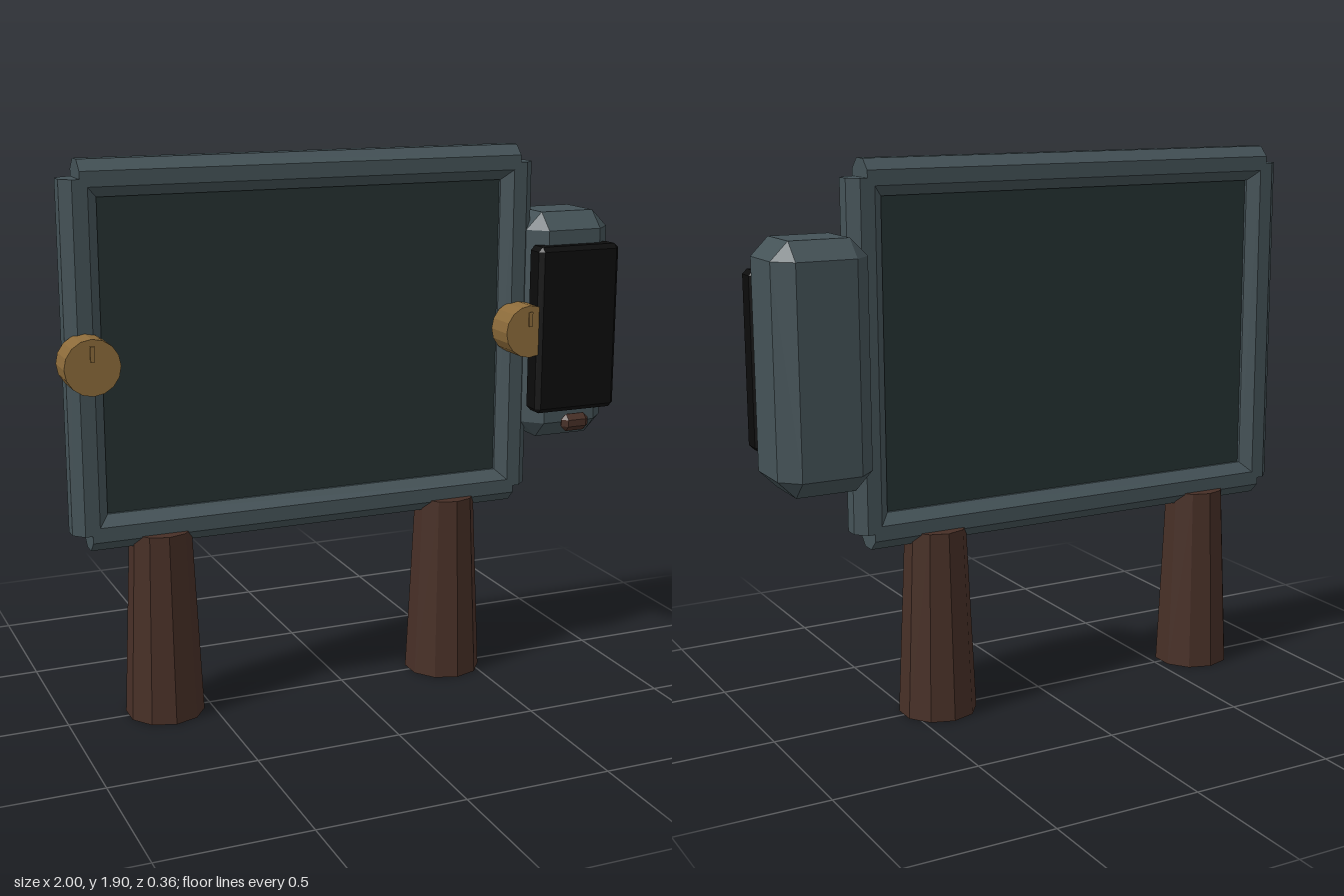
import * as THREE from 'three';
import { ConvexGeometry } from 'three/addons/geometries/ConvexGeometry.js';

function material(name, color) {
  const m = new THREE.MeshStandardMaterial({ color, flatShading: true });
  m.name = name;
  return m;
}

// Box with every edge cut off at 45 degrees
function chamferBox(w, h, d, c) {
  const points = [];
  for (const sx of [-1, 1]) for (const sy of [-1, 1]) for (const sz of [-1, 1]) {
    const x = w / 2, y = h / 2, z = d / 2;
    points.push(
      new THREE.Vector3(sx * x, sy * (y - c), sz * (z - c)),
      new THREE.Vector3(sx * (x - c), sy * y, sz * (z - c)),
      new THREE.Vector3(sx * (x - c), sy * (y - c), sz * z));
  }
  return new ConvexGeometry(points);
}

export function createModel() {
  const model = new THREE.Group();
  model.name = 'signBoard';

  const slate = material('slate grey', 0x445257);
  const board = material('dark board', 0x253131);
  const wood = material('dark wood', 0x472f26);
  const brass = material('brass', 0x8c6b3a);
  const black = material('black', 0x0c0c0c);

  function add(name, geometry, mat, x, y, z) {
    const mesh = new THREE.Mesh(geometry, mat);
    mesh.name = name;
    mesh.position.set(x, y, z);
    model.add(mesh);
    return mesh;
  }

  const left = -0.905, right = 0.647, bottom = 0.675, top = 1.836;
  const midX = (left + right) / 2, midY = (bottom + top) / 2;

  // Board panel
  add('panel', new THREE.BoxGeometry(right - left, top - bottom, 0.03), board, midX, midY, 0);

  // Octagonal frame bars
  const bar = (length) => new THREE.CylinderGeometry(0.065, 0.065, length, 8).rotateY(Math.PI / 8);
  for (const y of [bottom, top]) {
    add('horizontalBar', bar(right - left).rotateZ(Math.PI / 2), slate, midX, y, 0);
  }
  for (const x of [left, right]) {
    add('verticalBar', bar(top - bottom), slate, x, midY, 0);
  }

  // Tapered legs
  for (const x of [-0.66, 0.4]) {
    add('leg', new THREE.CylinderGeometry(0.105, 0.135, 0.655, 10), wood, x, 0.3275, 0);
  }

  // Brass knobs with a raised pointer
  for (const x of [-0.908, 0.648]) {
    add('knob', new THREE.CylinderGeometry(0.092, 0.092, 0.112, 16).rotateX(Math.PI / 2), brass, x, 1.258, 0.098);
    add('knobPointer', new THREE.BoxGeometry(0.014, 0.05, 0.009), brass, x, 1.302, 0.1555);
  }

  // Side housing, its black faceplate and small button
  add('housing', chamferBox(0.323, 0.81, 0.293, 0.06), slate, 0.8375, 1.255, -0.031);
  add('faceplate', chamferBox(0.318, 0.59, 0.09, 0.016), black, 0.836, 1.255, 0.12);
  add('button', chamferBox(0.108, 0.062, 0.042, 0.019), wood, 0.836, 0.918, 0.158);

  return model;
}
